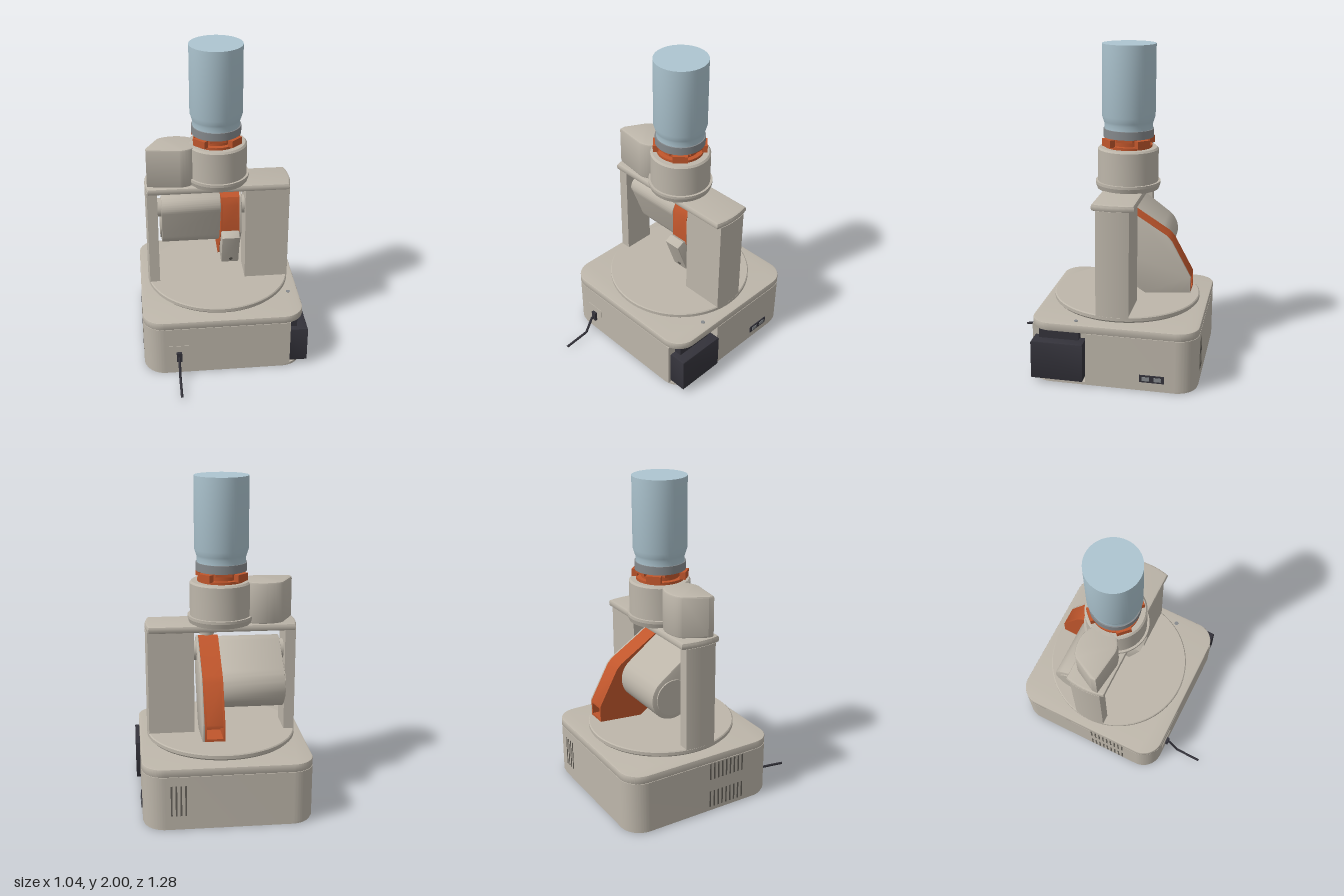
import * as THREE from 'three';
import { toCreasedNormals } from 'three/addons/utils/BufferGeometryUtils.js';

const mat = (name, color) => {
  const m = new THREE.MeshStandardMaterial({ color });
  m.name = name;
  return m;
};

export function createModel() {
  const root = new THREE.Group();
  const shell = mat('warm grey shell', 0xbdb6aa);
  const orange = mat('burnt orange', 0xc0562c);
  const blue = mat('pale blue', 0xadc5d0);
  const ring = mat('ring grey', 0x85898c);
  const black = mat('charcoal', 0x34333b);
  const slot = mat('vent shadow', 0x66625b);
  const CX = -0.01, CZ = -0.13; // turning axis

  const add = (name, geo, material, x = 0, y = 0, z = 0) => {
    const m = new THREE.Mesh(geo, material);
    m.name = name;
    m.position.set(x, y, z);
    root.add(m);
    return m;
  };
  const box = (name, material, x0, x1, y0, y1, z0, z1) =>
    add(name, new THREE.BoxGeometry(x1 - x0, y1 - y0, z1 - z0), material,
      (x0 + x1) / 2, (y0 + y1) / 2, (z0 + z1) / 2);
  const cyl = (name, material, r, y0, y1, x = CX, z = CZ, rTop = r) =>
    add(name, new THREE.CylinderGeometry(rTop, r, y1 - y0, 64), material, x, (y0 + y1) / 2, z);
  const extrude = (shape, depth, bevel) => new THREE.ExtrudeGeometry(shape, {
    depth: depth - 2 * bevel, curveSegments: 16, bevelEnabled: bevel > 0,
    bevelSize: bevel, bevelThickness: bevel, bevelOffset: -bevel, bevelSegments: 2,
  }).translate(0, 0, bevel);
  // plan outline (x, -z) raised from y0 to y1
  const rise = (name, material, shape, y0, y1, bevel = 0) =>
    add(name, toCreasedNormals(extrude(shape, y1 - y0, bevel).rotateX(-Math.PI / 2), 0.5), material, 0, y0, 0);
  // side outline (-z, y) stretched from x0 to x1
  const across = (name, material, shape, x0, x1, bevel = 0) =>
    add(name, toCreasedNormals(extrude(shape, x1 - x0, bevel).rotateY(Math.PI / 2), 0.5), material, x0, 0, 0);
  const side = (pts) => new THREE.Shape(pts.map(([z, y]) => new THREE.Vector2(-z, y)));

  // ---- base, with a notch in one front corner
  const X0 = -0.52, X1 = 0.495, Z0 = -0.64, Z1 = 0.38, R = 0.13;
  const baseShape = (notch, inset = 0) => {
    const a = X0 + inset, b = X1 - inset, f = -Z1 + inset, k = -Z0 - inset;
    const s = new THREE.Shape();
    s.moveTo(a + R, f);
    if (notch) {
      s.lineTo(0.405, f).lineTo(0.405, -0.03).lineTo(b, -0.03);
    } else {
      s.lineTo(b - R, f).absarc(b - R, f + R, R, -Math.PI / 2, 0, false);
    }
    s.absarc(b - R, k - R, R, 0, Math.PI / 2, false);
    s.absarc(a + R, k - R, R, Math.PI / 2, Math.PI, false);
    s.absarc(a + R, f + R, R, Math.PI, Math.PI * 1.5, false);
    return s;
  };
  rise('basePlate', shell, baseShape(false, 0.006), 0, 0.016);
  rise('baseBody', shell, baseShape(true), 0.016, 0.335);
  rise('baseTop', shell, baseShape(false), 0.335, 0.385, 0.006);
  cyl('statusLight', ring, 0.013, 0.38, 0.388, 0.43, 0.1);

  // ---- corner power unit
  rise('powerUnit', black, (() => {
    const s = new THREE.Shape();
    s.moveTo(0.405, -0.362).lineTo(0.52, -0.362).lineTo(0.52, -0.042).lineTo(0.405, -0.042);
    return s;
  })(), 0.028, 0.27, 0.008);
  box('powerUnitTop', black, 0.4, 0.455, 0.265, 0.332, 0.08, 0.325);

  // ---- side port
  box('portFrame', black, 0.49, 0.501, 0.06, 0.105, -0.45, -0.3);
  for (const z of [-0.41, -0.34]) box('portSocket', ring, 0.495, 0.504, 0.07, 0.095, z - 0.022, z + 0.022);

  // ---- vents on the back and one flank
  for (let i = 0; i < 4; i++) {
    const x = 0.24 + i * 0.028;
    box('backVent', slot, x, x + 0.01, 0.09, 0.28, -0.642, -0.636);
  }
  for (const y of [0.085, 0.275]) for (let i = 0; i < 9; i++) {
    const z = -0.09 + i * 0.029;
    box('sideVent', slot, -0.522, -0.516, y - 0.055, y + 0.055, z, z + 0.01);
  }

  // ---- cable and plug
  const recess = new THREE.Shape([[-0.365, 0.21], [-0.365, 0.15], [-0.3, 0.09], [-0.24, 0.15], [-0.24, 0.21]]
    .map(([x, y]) => new THREE.Vector2(x, y)));
  add('plugPanel', extrude(recess, 0.006, 0), shell, 0, 0, 0.377);
  box('plug', black, -0.318, -0.284, 0.1, 0.165, 0.378, 0.4);
  const path = new THREE.CurvePath();
  const knots = [[0.13, 0.38], [0.13, 0.412], [0.03, 0.47], [0.01, 0.64]]
    .map(([y, z]) => new THREE.Vector3(-0.302, y, z));
  for (let i = 0; i < 3; i++) path.add(new THREE.LineCurve3(knots[i], knots[i + 1]));
  add('cable', new THREE.TubeGeometry(path, 48, 0.008, 8), black);

  // ---- turntable
  cyl('turntableNeck', shell, 0.19, 0.38, 0.41);
  add('turntable', toCreasedNormals(new THREE.LatheGeometry([[0, 0.402], [0.448, 0.402], [0.46, 0.414],
    [0.46, 0.434], [0.454, 0.44], [0, 0.44]].map(([r, y]) => new THREE.Vector2(r, y)), 80), 0.5), shell, CX, 0, CZ);

  // ---- yoke: two columns and a bridge, outer ends following the turntable rim
  const yokeShape = (xa, xb, hw) => {
    const s = new THREE.Shape(), r = 0.46, a = Math.asin(hw / r), c = -CZ - 0.008;
    if (xb === null) s.absarc(CX, c, r, -a, a, false);
    else s.moveTo(xb, c - hw).lineTo(xb, c + hw);
    if (xa === null) s.absarc(CX, c, r, Math.PI - a, Math.PI + a, false);
    else s.lineTo(xa, c + hw).lineTo(xa, c - hw);
    return s;
  };
  rise('narrowColumn', shell, yokeShape(null, -0.395, 0.1), 0.435, 1.085);
  rise('wideColumn', shell, yokeShape(0.16, null, 0.1), 0.435, 1.085);
  rise('bridge', shell, yokeShape(null, null, 0.127), 1.08, 1.124, 0.014);
  cyl('bridgeStub', shell, 0.045, 1.045, 1.085, 0.075, CZ);

  // ---- head housing and its motor cover
  cyl('housingFlange', shell, 0.19, 1.12, 1.15, CX, CZ, 0.2);
  cyl('housingFlangeTop', shell, 0.2, 1.15, 1.167);
  add('housing', toCreasedNormals(new THREE.LatheGeometry([[0.186, 1.16], [0.186, 1.365], [0.176, 1.376], [0, 1.376]]
    .map(([r, y]) => new THREE.Vector2(r, y)), 64), 0.5), shell, CX, 0, CZ);
  const cover = new THREE.Shape();
  cover.moveTo(-0.455, 0.035).lineTo(-0.25, 0.008).quadraticCurveTo(-0.19, 0.012, -0.15, 0.06);
  cover.lineTo(-0.15, 0.19).quadraticCurveTo(-0.21, 0.245, -0.29, 0.238);
  cover.quadraticCurveTo(-0.36, 0.232, -0.385, 0.2).lineTo(-0.455, 0.07);
  rise('motorCover', shell, cover, 1.12, 1.376, 0.012);

  // ---- bayonet mount, collar and canister
  const TX = -0.015;
  cyl('mountDisc', orange, 0.145, 1.372, 1.392, TX);
  cyl('mountHub', orange, 0.115, 1.39, 1.442, TX);
  for (let i = 0; i < 4; i++) {
    const a = Math.PI / 4 + i * Math.PI / 2;
    const tab = add('mountTab', new THREE.BoxGeometry(0.035, 0.045, 0.09), orange,
      TX + 0.148 * Math.cos(a), 1.412, CZ + 0.148 * Math.sin(a));
    tab.rotation.y = -a;
    const rail = add('mountRail', new THREE.BoxGeometry(0.03, 0.018, 0.1), orange,
      TX + 0.125 * Math.cos(a + Math.PI / 4), 1.43, CZ + 0.125 * Math.sin(a + Math.PI / 4));
    rail.rotation.y = -a - Math.PI / 4;
  }
  cyl('collar', ring, 0.154, 1.44, 1.49, TX);
  add('canister', toCreasedNormals(new THREE.LatheGeometry([[0, 1.485], [0.147, 1.485], [0.147, 1.52], [0.152, 1.535],
    [0.163, 1.57], [0.163, 2], [0, 2]].map(([r, y]) => new THREE.Vector2(r, y)), 64), 0.5), blue, TX, 0, CZ);

  // ---- swinging motor: hull of a small upper and a large lower circle
  const up = { z: 0.12, y: 0.945, r: 0.075 }, low = { z: 0.26, y: 0.76, r: 0.14 };
  const dz = up.z - low.z, dy = up.y - low.y;
  const dir = Math.atan2(dy, dz), open = Math.acos((low.r - up.r) / Math.hypot(dz, dy));
  const drop = new THREE.Shape();
  drop.absarc(low.z, low.y, low.r, dir + open, dir - open + Math.PI * 2, false);
  drop.absarc(up.z, up.y, up.r, dir - open, dir + open, false);
  across('swingMotor', shell, drop, -0.37, 0.006, 0.006);
  const turned = (name, r, x0, x1, y, z) => {
    const g = new THREE.CylinderGeometry(r, r, x1 - x0, 40).rotateZ(Math.PI / 2);
    add(name, g, shell, (x0 + x1) / 2, y, z);
  };
  turned('motorCap', 0.11, -0.378, -0.36, low.y, -low.z);
  turned('pivotLeft', 0.06, 0.13, 0.165, 0.935, -up.z);
  turned('pivotRight', 0.06, -0.4, -0.36, 0.935, -up.z);

  // ---- orange swing arm: open-ended core between two cheeks, with an outer cover
  const top = [[-0.05, 0.96], [-0.07, 1.01], [-0.11, 1.03], [-0.15, 1.02], [-0.235, 0.965], [-0.4, 0.862], [-0.43, 0.83], [-0.55, 0.61]];
  const bottom = [[-0.27, 0.485], [-0.2, 0.53], [-0.05, 0.76]];
  const full = side([...top, [-0.55, 0.51], ...bottom].reverse());
  const hollow = side([...top, [-0.55, 0.595], [-0.38, 0.62], [-0.38, 0.515], [-0.55, 0.525], [-0.55, 0.51], ...bottom].reverse());
  across('armCore', orange, hollow, 0.018, 0.114);
  across('armCheekInner', orange, full, 0.006, 0.018);
  across('armCheekOuter', orange, full, 0.114, 0.126);
  across('armCover', shell, full, 0.126, 0.14, 0.004);

  // ---- shell block on the front of the arm
  across('armFrontBlock', shell, side([[0.02, 0.76], [-0.03, 0.785], [-0.17, 0.72], [-0.2, 0.57], [-0.06, 0.54]].reverse()),
    0.008, 0.122, 0.006);
  const screw = add('armScrew', new THREE.CylinderGeometry(0.012, 0.012, 0.008, 20).rotateX(Math.PI / 2), slot,
    0.07, 0.57, -0.048);
  screw.rotation.x = 0.35;

  return root;
}
